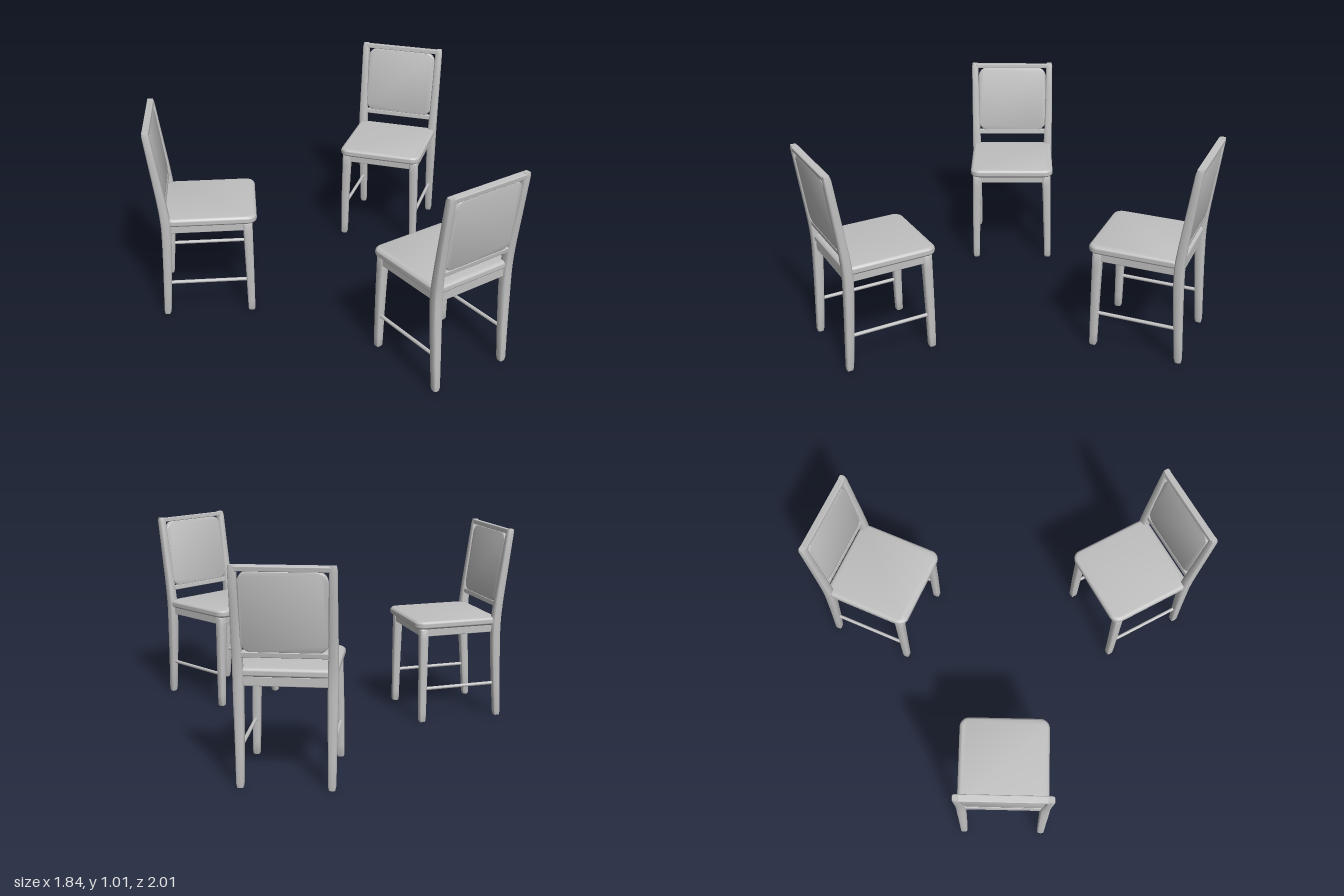
import * as THREE from 'three';
import { toCreasedNormals } from 'three/addons/utils/BufferGeometryUtils.js';
import { RoundedBoxGeometry } from 'three/addons/geometries/RoundedBoxGeometry.js';

const grey = new THREE.MeshStandardMaterial({ color: 0xc0c0c0 });
grey.name = 'plain grey';

function part(name, geometry, x = 0, y = 0, z = 0) {
  const mesh = new THREE.Mesh(geometry, grey);
  mesh.name = name;
  mesh.position.set(x, y, z);
  return mesh;
}

// Curved post with a soft square section; each point is [x, y, z, half thickness]
function post(points) {
  const rows = 16;
  const curve = new THREE.CatmullRomCurve3(points.map(([x, y, z]) => new THREE.Vector3(x, y, z)));
  const geometry = new THREE.CylinderGeometry(1, 1, 1, 16, rows);
  const pos = geometry.attributes.position;
  for (let i = 0; i < pos.count; i++) {
    const row = Math.round((pos.getY(i) + 0.5) * rows);
    const t = row === 1 ? 0.015 : row === rows - 1 ? 0.985 : row / rows;
    const k = t * (points.length - 1);
    const a = Math.min(Math.floor(k), points.length - 2);
    let half = THREE.MathUtils.lerp(points[a][3], points[a + 1][3], k - a);
    if (row === 0 || row === rows) half *= 0.82;
    const soft = (v) => Math.sign(v) * Math.pow(Math.abs(v), 0.5) * half;
    const p = curve.getPoint(t);
    const vx = Math.abs(pos.getX(i)) < 1e-6 ? 0 : pos.getX(i);
    const vz = Math.abs(pos.getZ(i)) < 1e-6 ? 0 : pos.getZ(i);
    pos.setXYZ(i, p.x + soft(vx), p.y, p.z + soft(vz));
  }
  return toCreasedNormals(geometry, 0.6);
}

// Padded slab with rounded corners and a rolled edge, centred, lying in the xy plane
function pad(width, height, thick, corner, roll) {
  const w = width / 2 - roll, h = height / 2 - roll, r = corner;
  const shape = new THREE.Shape();
  shape.absarc(w - r, h - r, r, 0, Math.PI / 2);
  shape.absarc(-w + r, h - r, r, Math.PI / 2, Math.PI);
  shape.absarc(-w + r, -h + r, r, Math.PI, Math.PI * 1.5);
  shape.absarc(w - r, -h + r, r, Math.PI * 1.5, Math.PI * 2);
  const geometry = new THREE.ExtrudeGeometry(shape, {
    depth: thick - 2 * roll, bevelThickness: roll, bevelSize: roll, bevelSegments: 5, curveSegments: 8,
  });
  geometry.translate(0, 0, roll - thick / 2);
  return toCreasedNormals(geometry, 0.7);
}

function makeChair(name) {
  const chair = new THREE.Group();
  chair.name = name;

  // Seat cushion over a shallow frame
  const seat = part('seatCushion', pad(0.457, 0.465, 0.042, 0.03, 0.019), 0, 0.524, -0.0075);
  seat.rotation.x = -Math.PI / 2;
  chair.add(seat);
  chair.add(part('frontApron', new RoundedBoxGeometry(0.37, 0.045, 0.022, 2, 0.004), 0, 0.486, 0.186));
  chair.add(part('backApron', new RoundedBoxGeometry(0.4, 0.045, 0.022, 2, 0.004), 0, 0.486, -0.222));

  // Legs, side aprons and side stretchers
  for (const [side, s] of [['left', 1], ['right', -1]]) {
    chair.add(part(side + 'BackPost', post([
      [s * 0.205, 0, -0.248, 0.018], [s * 0.206, 0.2, -0.236, 0.021],
      [s * 0.208, 0.4, -0.226, 0.024], [s * 0.209, 0.52, -0.225, 0.024],
      [s * 0.211, 0.63, -0.236, 0.022], [s * 0.213, 0.82, -0.262, 0.02],
      [s * 0.215, 1.01, -0.288, 0.018],
    ])));
    chair.add(part(side + 'FrontLeg', post([
      [s * 0.204, 0, 0.183, 0.018], [s * 0.2, 0.25, 0.181, 0.021], [s * 0.192, 0.506, 0.178, 0.024],
    ])));
    chair.add(part(side + 'Apron', new RoundedBoxGeometry(0.022, 0.045, 0.4, 2, 0.004), s * 0.2, 0.486, -0.02));
    const stretcher = part(side + 'Stretcher', new THREE.CylinderGeometry(0.009, 0.009, 0.41, 12), s * 0.204, 0.18, -0.027);
    stretcher.rotation.x = Math.PI / 2;
    chair.add(stretcher);
  }

  // Tilted backrest: padded panel between two rails
  const back = new THREE.Group();
  back.name = 'backrest';
  back.position.set(0, 0.803, -0.26);
  back.rotation.x = -0.135;
  back.add(part('backPanel', pad(0.39, 0.368, 0.028, 0.045, 0.007)));
  back.add(part('topRail', new RoundedBoxGeometry(0.42, 0.024, 0.034, 2, 0.004), 0, 0.195, 0));
  back.add(part('bottomRail', new RoundedBoxGeometry(0.4, 0.026, 0.03, 2, 0.004), 0, -0.194, 0));
  chair.add(back);
  return chair;
}

export function createModel() {
  const model = new THREE.Group();
  model.name = 'threeChairs';
  // Name, x, z and turn in degrees of each chair
  const places = [
    ['rearChair', 0.31, -0.66, -14],
    ['sideChair', -0.588, 0.14, 98.5],
    ['frontChair', 0.553, 0.623, 218.3],
  ];
  for (const [name, x, z, turn] of places) {
    const chair = makeChair(name);
    chair.position.set(x, 0, z);
    chair.rotation.y = THREE.MathUtils.degToRad(turn);
    model.add(chair);
  }
  return model;
}
